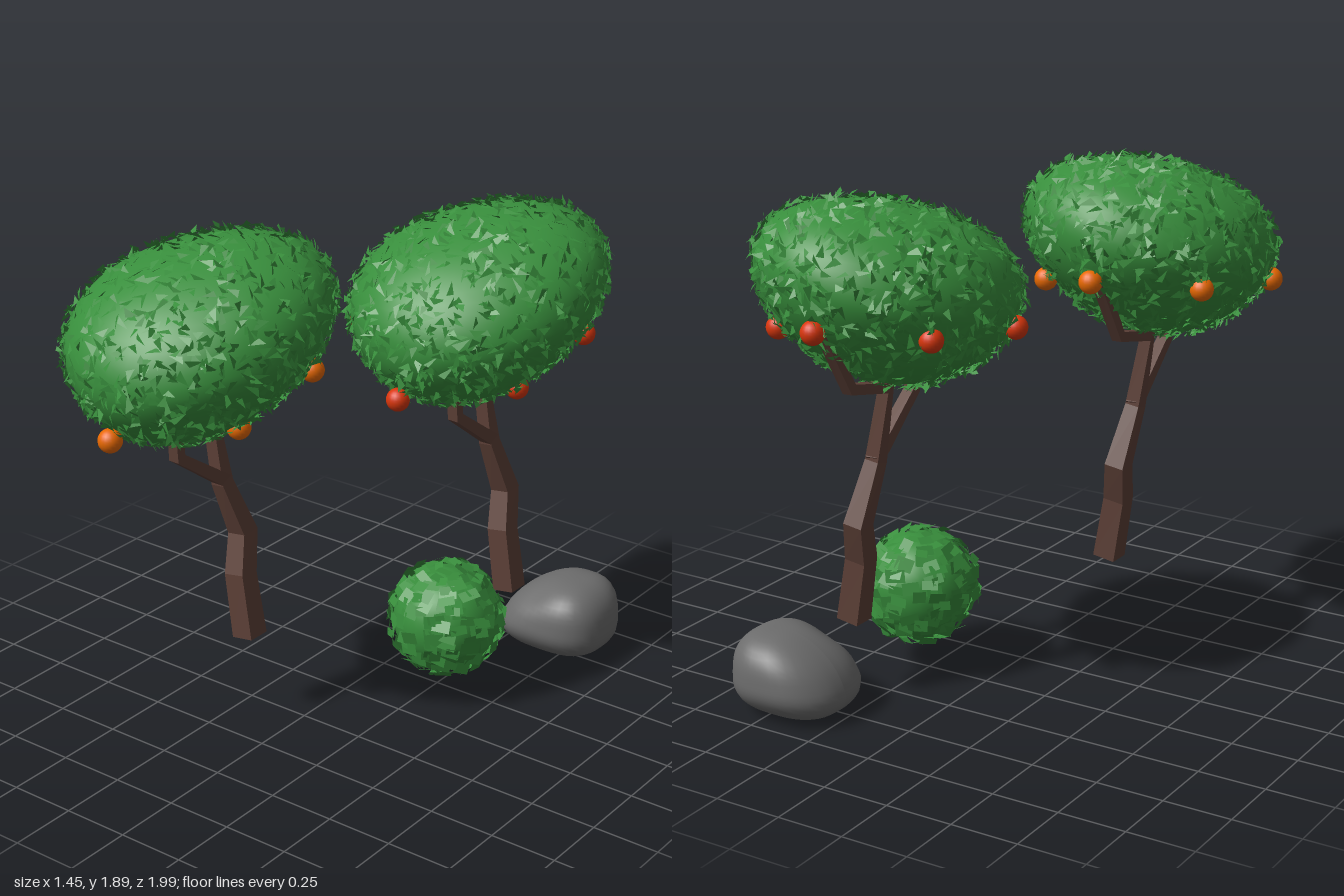
import * as THREE from 'three';

const leafGreen = new THREE.MeshStandardMaterial({ color: 0x388e3c, side: THREE.DoubleSide });
const bark = new THREE.MeshStandardMaterial({ color: 0x5d4037, flatShading: true });
const stone = new THREE.MeshStandardMaterial({ color: 0x6c6c6c });
const orange = new THREE.MeshStandardMaterial({ color: 0xef6c00 });
const red = new THREE.MeshStandardMaterial({ color: 0xd8360c });
Object.entries({ leafGreen, bark, stone, orange, red }).forEach(([name, m]) => { m.name = name; });

const V = (x, y, z) => new THREE.Vector3(x, y, z);

function seeded(seed) {
  return () => {
    seed = (seed * 16807) % 2147483647;
    return seed / 2147483647;
  };
}

function addMesh(parent, name, geometry, material) {
  const mesh = new THREE.Mesh(geometry, material);
  mesh.name = name;
  parent.add(mesh);
  return mesh;
}

// Square limb swept along points [x, y, z, halfWidth]
function limb(points) {
  const p = points.map(([x, y, z]) => V(x, y, z));
  const pos = [], index = [];
  points.forEach(([, , , h], i) => {
    const t = V(0, 0, 0);
    if (i > 0) t.add(p[i].clone().sub(p[i - 1]).normalize());
    if (i < p.length - 1) t.add(p[i + 1].clone().sub(p[i]).normalize());
    t.normalize();
    const side = V(1, 0, 0).addScaledVector(t, -t.x).normalize();
    const fore = side.clone().cross(t);
    for (const [a, b] of [[-1, -1], [-1, 1], [1, 1], [1, -1]]) {
      const c = p[i].clone().addScaledVector(side, a * h).addScaledVector(fore, b * h);
      pos.push(c.x, c.y, c.z);
    }
    if (i === 0) return;
    for (let k = 0; k < 4; k++) {
      const a = (i - 1) * 4 + k, b = (i - 1) * 4 + (k + 1) % 4;
      index.push(a, b, b + 4, a, b + 4, a + 4);
    }
  });
  const e = pos.length / 3 - 4;
  index.push(0, 2, 1, 0, 3, 2, e, e + 1, e + 2, e, e + 2, e + 3);
  const g = new THREE.BufferGeometry();
  g.setAttribute('position', new THREE.Float32BufferAttribute(pos, 3));
  g.setIndex(index);
  g.computeVertexNormals();
  return g;
}

// Leaves scattered over a surface; place(direction) gives a surface point
function leaves({ count, size, width, tilt, lift, square, place, seed }) {
  const rnd = seeded(seed);
  const pos = [];
  for (let i = 0; i < count; i++) {
    const y = 1 - 2 * (i + 0.5) / count;
    const a = i * 2.39996 + rnd() * 0.6;
    const r = Math.sqrt(1 - y * y);
    const dir = V(r * Math.cos(a), y, r * Math.sin(a));
    const u = V(-Math.sin(a), 0, Math.cos(a));
    const w = u.clone().cross(dir);
    const spin = square ? (rnd() - 0.5) * 0.5 : rnd() * Math.PI * 2;
    const along = u.clone().multiplyScalar(Math.cos(spin)).addScaledVector(w, Math.sin(spin));
    const across = along.clone().cross(dir);
    along.addScaledVector(dir, (rnd() - 0.5) * 2 * tilt).normalize();
    across.addScaledVector(dir, (rnd() - 0.5) * 2 * tilt).normalize();
    const c = place(dir).addScaledVector(dir, lift * (0.3 + rnd()));
    const s = size * (0.7 + 0.6 * rnd()) / 2, h = width * (0.7 + 0.6 * rnd()) / 2;
    const at = (m, n) => c.clone().addScaledVector(along, m * s).addScaledVector(across, n * h);
    const tri = square
      ? [at(-1, -1), at(1, 1), at(1, -1), at(-1, -1), at(-1, 1), at(1, 1)]
      : [at(-1, -1), at(-0.6, 1), at(1, 0)];
    tri.forEach(q => pos.push(q.x, q.y, q.z));
  }
  const g = new THREE.BufferGeometry();
  g.setAttribute('position', new THREE.Float32BufferAttribute(pos, 3));
  g.computeVertexNormals();
  return g;
}

// Reshape a unit sphere by a rule
function shapedSphere(place, w, h) {
  const g = new THREE.SphereGeometry(1, w, h);
  const p = g.attributes.position;
  for (let i = 0; i < p.count; i++) {
    const q = place(V(p.getX(i), p.getY(i), p.getZ(i)));
    p.setXYZ(i, q.x, q.y, q.z);
  }
  g.computeVertexNormals();
  return g;
}

// Leaning crown: higher at the back, saddled on top, tapered below
const crownPoint = d => {
  const up = Math.max(0, d.y), down = Math.max(0, -d.y);
  const s = 0.77 * d.x - 0.64 * d.z;
  const k = 1 + 0.22 * up * (s * s - 0.15);
  const x = d.x * 0.443 * k * (1 - 0.2 * down);
  const z = d.z * 0.477 * k * (1 - 0.09 * down);
  return V(x - 0.253, 1.518 + d.y * 0.325 * k - 0.165 * z + 0.07 * x, z + 0.487);
};

function makeTree(name, fruitMaterial, seed) {
  const tree = new THREE.Group();
  tree.name = name;
  addMesh(tree, 'trunk', limb([
    [-0.17, 0.33, 0.352, 0.044], [-0.207, 0.57, 0.352, 0.041], [-0.232, 0.715, 0.305, 0.038],
    [-0.256, 0.93, 0.385, 0.028], [-0.293, 1.2, 0.4, 0.023], [-0.28, 1.24, 0.205, 0.02],
    [-0.27, 1.48, 0.07, 0.02]]), bark);
  addMesh(tree, 'frontBranch', limb([
    [-0.256, 0.93, 0.37, 0.024], [-0.235, 1.12, 0.645, 0.021], [-0.233, 1.32, 0.66, 0.018]]), bark);
  addMesh(tree, 'crown', shapedSphere(crownPoint, 40, 28), leafGreen);
  addMesh(tree, 'crownLeaves', leaves({
    count: 1900, size: 0.052, width: 0.026, tilt: 0.7, lift: 0.012, place: crownPoint, seed }), leafGreen);
  const fruitSpots = [
    [-0.66, 1.405, 0.66], [-0.32, 1.245, 0.885], [-0.04, 1.25, 0.545],
    [0.06, 1.395, 0.265], [-0.26, 1.475, 0.035], [-0.595, 1.45, 0.235]];
  const fruit = new THREE.SphereGeometry(0.043, 20, 14);
  for (const spot of fruitSpots) addMesh(tree, 'fruit', fruit, fruitMaterial).position.set(...spot);
  return tree;
}

export function createModel() {
  const model = new THREE.Group();
  model.name = 'fruitTrees';

  // Two matching trees
  model.add(makeTree('orangeTree', orange, 11));
  const redTree = makeTree('redTree', red, 47);
  redTree.position.set(0.51, -0.035, -0.945);
  model.add(redTree);

  // Round bush covered in square leaves
  const bush = new THREE.Group();
  bush.name = 'bush';
  bush.position.set(0.302, 0.312, -0.225);
  addMesh(bush, 'bushCore', new THREE.SphereGeometry(0.196, 32, 22), leafGreen);
  addMesh(bush, 'bushLeaves', leaves({
    count: 300, size: 0.055, width: 0.042, tilt: 0.42, lift: 0.017, square: true, seed: 5,
    place: d => d.clone().multiplyScalar(0.196) }), leafGreen);
  model.add(bush);

  // Smooth boulder: a boxy sphere, narrow on top and at the back, dented in front
  const dent = V(-0.45, 0.6, 0.66).normalize();
  const boulder = shapedSphere(d => {
    const n = 2.8;
    const k = Math.pow(Math.abs(d.x) ** n + Math.abs(d.y) ** n + Math.abs(d.z) ** n, -1 / n);
    const hollow = 1 - 0.13 * Math.exp(-6 * d.distanceToSquared(dent));
    const q = d.clone().multiplyScalar(k * hollow);
    const top = (q.y + 1) / 2, back = Math.max(0, -q.z);
    return V(
      0.445 + q.x * 0.232 * (1 - 0.36 * top * top) * (1 - 0.22 * back * back) + 0.065 * top * top,
      0.15 + q.y * 0.15 * (q.y > 0 ? 1 : 1 - 0.3 * Math.abs(q.z) ** 3),
      -0.8 + q.z * 0.2 * (1 - 0.06 * q.y));
  }, 36, 26);
  addMesh(model, 'boulder', boulder, stone);

  return model;
}
